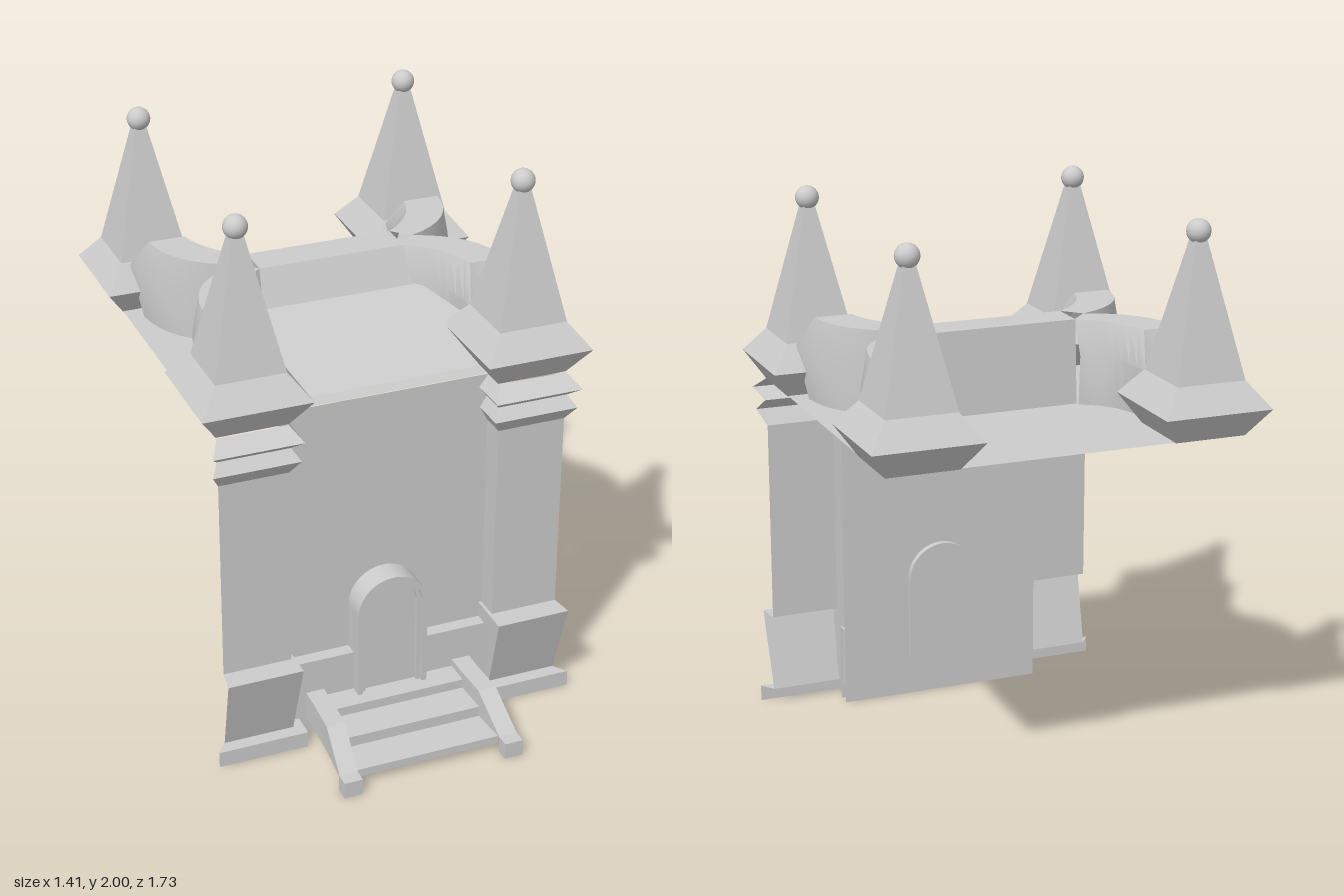
import * as THREE from 'three';
import { toCreasedNormals } from 'three/addons/utils/BufferGeometryUtils.js';

const material = new THREE.MeshStandardMaterial({ color: 0xcccccc, side: THREE.DoubleSide });

function addMesh(parent, name, geometry, x = 0, y = 0, z = 0) {
  const mesh = new THREE.Mesh(geometry, material);
  mesh.name = name;
  mesh.position.set(x, y, z);
  parent.add(mesh);
  return mesh;
}

// Surface through a list of cross-sections, each a list of [x, y, z]
function loft(rows, crease = 0.5) {
  const n = rows[0].length, index = [];
  for (let i = 0; i < rows.length - 1; i++) {
    for (let j = 0; j < n - 1; j++) {
      const a = i * n + j, d = a + n;
      index.push(a, a + 1, d + 1, a, d + 1, d);
    }
  }
  const g = new THREE.BufferGeometry();
  g.setAttribute('position', new THREE.Float32BufferAttribute(rows.flat(2), 3));
  g.setIndex(index);
  return toCreasedNormals(g, crease);
}

// Arch outline standing on y = 0
function archPath(PathType, halfWidth, springY, bottom = 0) {
  const p = new PathType();
  p.moveTo(-halfWidth, bottom);
  p.lineTo(halfWidth, bottom);
  p.lineTo(halfWidth, springY);
  p.absarc(0, springY, halfWidth, 0, Math.PI, false);
  p.closePath();
  return p;
}

function extrude(shape, depth) {
  return new THREE.ExtrudeGeometry(shape, { depth, bevelEnabled: false, curveSegments: 20 });
}

// Corner pier: plinth, flared base, shaft and zigzag cornice; [y, front, sides, back]
function pierGeometry() {
  const profile = [
    [0, 0.05, 0.04, 0], [0.06, 0.05, 0.04, 0], [0.06, 0, 0.003, 0],
    [0.35, 0.085, 0.012, 0], [0.35, 0, 0, 0], [1.1, 0, 0, 0],
    [1.155, 0.04, 0.03, 0.04], [1.195, 0.005, 0.005, 0.045],
    [1.235, 0.06, 0.035, 0.06], [1.28, 0, 0, 0],
  ];
  return loft(profile.map(([y, f, s, b]) => [
    [0.385 - s, y, 0.4 - b], [0.385 - s, y, 0.49 + f], [0.637 + s, y, 0.49 + f],
  ]), 0.1);
}

// Curved roof wall, swept along one guide curve per edge
function roofArmGeometry() {
  const guides = [
    [1.28, [0.41, 0.16], [0.39, 0], [0.27, -0.05]],
    [1.46, [0.39, 0.23], [0.38, 0], [0.27, -0.04]],
    [1.58, [0.425, 0.14], [0.4, 0], [0.27, -0.09]],
    [1.58, [0.56, 0.14], [0.54, -0.08], [0.33, -0.153]],
    [1.46, [0.605, 0.23], [0.585, -0.08], [0.33, -0.153]],
    [1.28, [0.58, 0.16], [0.56, -0.08], [0.33, -0.153]],
  ].map(([y, ...p]) => ({
    y, curve: new THREE.QuadraticBezierCurve(...p.map(q => new THREE.Vector2(...q))),
  }));
  const rows = [guides.map(() => [0.495, 1.44, 0.19])];
  for (let i = 0; i <= 8; i++) {
    rows.push(guides.map(({ y, curve }) => {
      const p = curve.getPoint(i / 8);
      return [p.x, y, p.y];
    }));
  }
  return loft(rows);
}

// Stair rail, leaning outwards to the front; [z, bottom, top, centre x]
function railGeometry() {
  const stations = [
    [0.4, 0.06, 0.163, 0.283], [0.53, 0.06, 0.163, 0.284], [0.665, 0.06, 0.163, 0.29],
    [0.82, 0.055, 0.062, 0.303],
  ];
  return loft(stations.map(([z, lo, hi, x]) => [
    [x - 0.034, lo, z], [x - 0.034, hi, z], [x + 0.034, hi, z], [x + 0.034, lo, z],
  ]).reverse().map(r => r.reverse()), 0.3);
}

function spire() {
  const group = new THREE.Group();
  group.name = 'spire';
  const points = [[0, 1.28], [0.128, 1.28], [0.195, 1.38], [0.125, 1.47], [0.018, 1.95], [0, 1.95]]
    .map(([h, y]) => new THREE.Vector2(h * Math.SQRT2, y));
  const roof = toCreasedNormals(new THREE.LatheGeometry(points, 4).rotateY(Math.PI / 4), 0.1);
  addMesh(group, 'spireRoof', roof);
  addMesh(group, 'spireBall', new THREE.SphereGeometry(0.042, 20, 14), 0, 1.96, 0);
  return group;
}

export function createModel() {
  const model = new THREE.Group();
  model.name = 'gatehouse';

  // Front wall and its low projecting base
  addMesh(model, 'frontWall', new THREE.PlaneGeometry(0.77, 1.28), 0, 0.64, 0.4);
  addMesh(model, 'wallBase', loft([
    [[-0.385, 0, 0.45], [0.385, 0, 0.45]],
    [[-0.385, 0.29, 0.45], [0.385, 0.29, 0.45]],
    [[-0.385, 0.29, 0.4], [0.385, 0.29, 0.4]],
  ]));

  // Roof plate
  addMesh(model, 'roofPlate', new THREE.PlaneGeometry(1.274, 1.19).rotateX(-Math.PI / 2), 0, 1.282, -0.195);

  // Central roof ridge with its sloping front
  const ridge = [
    [1.28, 0.34, 0.385], [1.41, 0.15, 0.385], [1.45, -0.03, 0.31],
    [1.58, -0.09, 0.27], [1.58, -0.22, 0.27], [1.28, -0.24, 0.27],
  ];
  addMesh(model, 'roofRidge', loft([1, -1].map(s => ridge.map(([y, z, x]) => [s * x, y, z])), 0.3));

  // Mirrored piers, stair rails and roof arms
  const pier = pierGeometry(), arm = roofArmGeometry(), rail = railGeometry();
  for (const side of [1, -1]) {
    const half = new THREE.Group();
    half.name = side > 0 ? 'leftHalf' : 'rightHalf';
    half.scale.x = side;
    model.add(half);
    addMesh(half, 'pier', pier);
    addMesh(half, 'stairRail', rail);
    addMesh(half, 'railFoot', new THREE.BoxGeometry(0.068, 0.062, 0.05), 0.304, 0.031, 0.843);
    addMesh(half, 'frontRoofArm', arm);
    const backArm = addMesh(half, 'backRoofArm', arm, 0, 0, -0.306);
    backArm.scale.z = -1;
    for (const z of [0.355, -0.665]) {
      const s = spire();
      s.position.set(0.51, 0, z);
      half.add(s);
    }
  }

  // Steps as one folded strip of risers and treads
  const stairs = [
    [0.03, 0.81], [0.06, 0.81], [0.06, 0.675], [0.1, 0.675], [0.1, 0.545], [0.135, 0.545], [0.135, 0.4],
  ];
  addMesh(model, 'steps', loft(stairs.map(([y, z]) => [[-0.27, y, z], [0.27, y, z]])));

  // Arched door: raised frame, inner moulding and panel
  const door = new THREE.Group();
  door.name = 'door';
  door.position.set(-0.003, 0.132, 0.375);
  model.add(door);
  const frame = archPath(THREE.Shape, 0.132, 0.334);
  frame.holes.push(archPath(THREE.Path, 0.114, 0.334, 0.0005));
  addMesh(door, 'doorFrame', extrude(frame, 0.12));
  const moulding = archPath(THREE.Shape, 0.114, 0.334);
  moulding.holes.push(archPath(THREE.Path, 0.098, 0.334, 0.0005));
  addMesh(door, 'doorMoulding', extrude(moulding, 0.105));
  addMesh(door, 'doorPanel', extrude(archPath(THREE.Shape, 0.098, 0.334), 0.09));

  return model;
}
